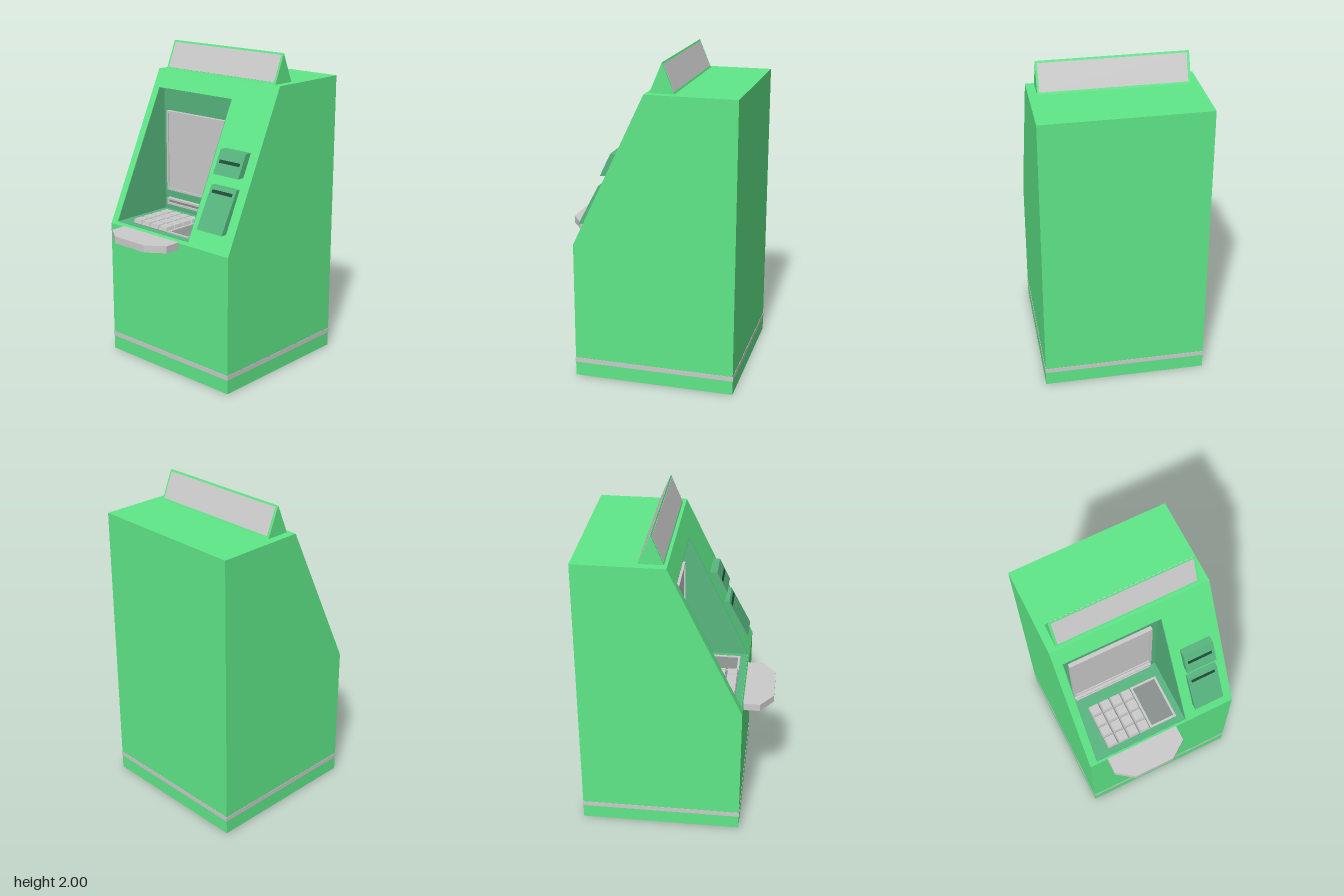
import * as THREE from 'three';

const mat = (color, extra = {}) => new THREE.MeshStandardMaterial({ color, ...extra });

export function createModel() {
  const root = new THREE.Group();
  root.name = 'cashMachine';
  const green = mat(0x5fe888), dull = mat(0x57b67f), dark = mat(0x1f4a34);
  const grey = mat(0xcccccc), greyFlat = mat(0xcccccc, { flatShading: true });
  const shade = mat(0x8a918e);

  const add = (name, geometry, material, parent = root) => {
    const mesh = new THREE.Mesh(geometry, material);
    mesh.name = name;
    parent.add(mesh);
    return mesh;
  };
  const group = (name) => {
    const g = new THREE.Group();
    g.name = name;
    root.add(g);
    return g;
  };
  const shapeOf = (pts) => new THREE.Shape(pts.map(([a, b]) => new THREE.Vector2(a, b)));
  // Side profile given as [z, y], swept from x0 to x1
  const sweepX = (pts, x0, x1) =>
    new THREE.ExtrudeGeometry(shapeOf(pts), { depth: x1 - x0, bevelEnabled: false })
      .rotateY(-Math.PI / 2).translate(x1, 0, 0);
  // Box given by its limits
  const box = (x0, x1, y0, y1, z0, z1) =>
    new THREE.BoxGeometry(x1 - x0, y1 - y0, z1 - z0)
      .translate((x0 + x1) / 2, (y0 + y1) / 2, (z0 + z1) / 2);
  // Rectangular frame in the xy plane, pushed forward by depth
  const frame = (w, h, rim, depth) => {
    const rect = (a, b) => [[-a, -b], [a, -b], [a, b], [-a, b]];
    const s = shapeOf(rect(w / 2, h / 2));
    s.holes.push(shapeOf(rect(w / 2 - rim, h / 2 - rim).reverse()));
    return new THREE.ExtrudeGeometry(s, { depth, bevelEnabled: false });
  };
  // z of the sloping front at height y
  const slope = (y) => 0.415 - (y - 0.87) * 0.4737;

  // Cabinet: two full side blocks and a notched middle block
  const W = 0.505, RL = -0.455, RR = 0.175, back = -0.03, low = 0.89, high = 1.71;
  const bottom = [[-0.59, 0], [0.415, 0], [0.415, 0.87]];
  const top = [[-0.035, 1.82], [-0.59, 1.82]];
  const notch = [[slope(low), low], [back, low], [back, high], [slope(high), high]];
  const cabinet = group('cabinet');
  add('cabinetRight', sweepX([...bottom, ...top], -W, RL), green, cabinet);
  add('cabinetMiddle', sweepX([...bottom, ...notch, ...top], RL, RR), green, cabinet);
  add('cabinetLeft', sweepX([...bottom, ...top], RR, W), green, cabinet);
  add('baseStripe', box(-W - 0.002, W + 0.002, 0.09, 0.12, -0.592, 0.417), grey);

  // Lining of the recess
  const lining = group('recessLining');
  const t = 0.004;
  for (const x of [RL, RR - t]) add('recessSide', sweepX(notch, x, x + t), dull, lining);
  add('recessBack', box(RL, RR, low, high, back, back + t), dull, lining);
  add('recessFloor', box(RL, RR, low, low + 0.002, back, slope(low) - 0.002), dull, lining);
  add('recessCeiling', box(RL, RR, high - t, high, back, slope(high)), dull, lining);

  // Screen and the note slot under it
  add('screenFrame', frame(0.54, 0.53, 0.014, 0.03).translate(-0.14, 1.295, back), grey);
  add('screen', box(-0.4, 0.12, 1.04, 1.55, back, -0.008), grey);
  add('noteSlotFrame', frame(0.54, 0.044, 0.012, 0.03).translate(-0.14, 0.953, back), grey);
  add('noteSlot', box(-0.4, 0.12, 0.94, 0.966, back, -0.012), shade);

  // Keypad: four by four tapered keys
  const keypad = group('keypad');
  add('keyBed', box(-0.355, -0.055, low, 0.896, 0.06, 0.36), shade, keypad);
  const key = new THREE.CylinderGeometry(0.03 * Math.SQRT2, 0.036 * Math.SQRT2, 0.026, 4)
    .rotateY(Math.PI / 4);
  for (let r = 0; r < 4; r++) {
    for (let c = 0; c < 4; c++) {
      add('key', key, greyFlat, keypad)
        .position.set(-0.317 + c * 0.075, 0.908, 0.098 + r * 0.0755);
    }
  }

  // Flat pad beside the keys
  add('padFrame', frame(0.182, 0.3, 0.014, 0.01).rotateX(-Math.PI / 2)
    .translate(0.038, low, 0.21), grey);
  add('pad', box(-0.041, 0.117, low, 0.894, 0.072, 0.348), shade);

  // Hand shelf with cut corners
  const shelf = shapeOf([[-0.385, 0.4], [0.1, 0.4], [0.1, 0.515], [-0.012, 0.595],
    [-0.272, 0.595], [-0.385, 0.515]]);
  add('handShelf', new THREE.ExtrudeGeometry(shelf, { depth: 0.045, bevelEnabled: false })
    .rotateX(Math.PI / 2).translate(0, 0.875, 0), grey);

  // Card and receipt units on the slope
  for (const [name, y0, y1, z0, z1, ySlot] of [
    ['receiptUnit', 1.3, 1.44, 0.257, 0.19, 1.375],
    ['cardUnit', 0.985, 1.235, 0.4, 0.27, 1.204],
  ]) {
    const unit = group(name);
    add('unitBody', sweepX([[slope(y0) - 0.02, y0], [z0, y0], [z1, y1],
      [slope(y1) - 0.02, y1]], 0.24, 0.44), dull, unit);
    const zAt = (y) => z0 + (z1 - z0) * (y - y0) / (y1 - y0) + 0.002;
    const a = ySlot - 0.009, b = ySlot + 0.009;
    add('unitSlot', sweepX([[zAt(a) - 0.02, a], [zAt(a), a], [zAt(b), b],
      [zAt(b) - 0.02, b]], 0.26, 0.42), dark, unit);
  }

  // Wedge sign on the roof with a panel on both faces
  const sign = group('roofSign');
  const apex = -0.13, half = 0.075, foot = 1.82, rise = 0.18;
  add('signBody', sweepX([[apex - half, foot], [apex + half, foot], [apex, 2]],
    -0.455, 0.453), green, sign);
  const lean = Math.atan2(half, rise), len = Math.hypot(half, rise);
  for (const s of [1, -1]) {
    const panel = add('signPanel', new THREE.BoxGeometry(0.88, len - 0.026, 0.004), grey, sign);
    panel.position.set(0, foot + rise / 2, apex + s * half / 2);
    panel.rotation.x = -s * lean;
  }
  return root;
}
